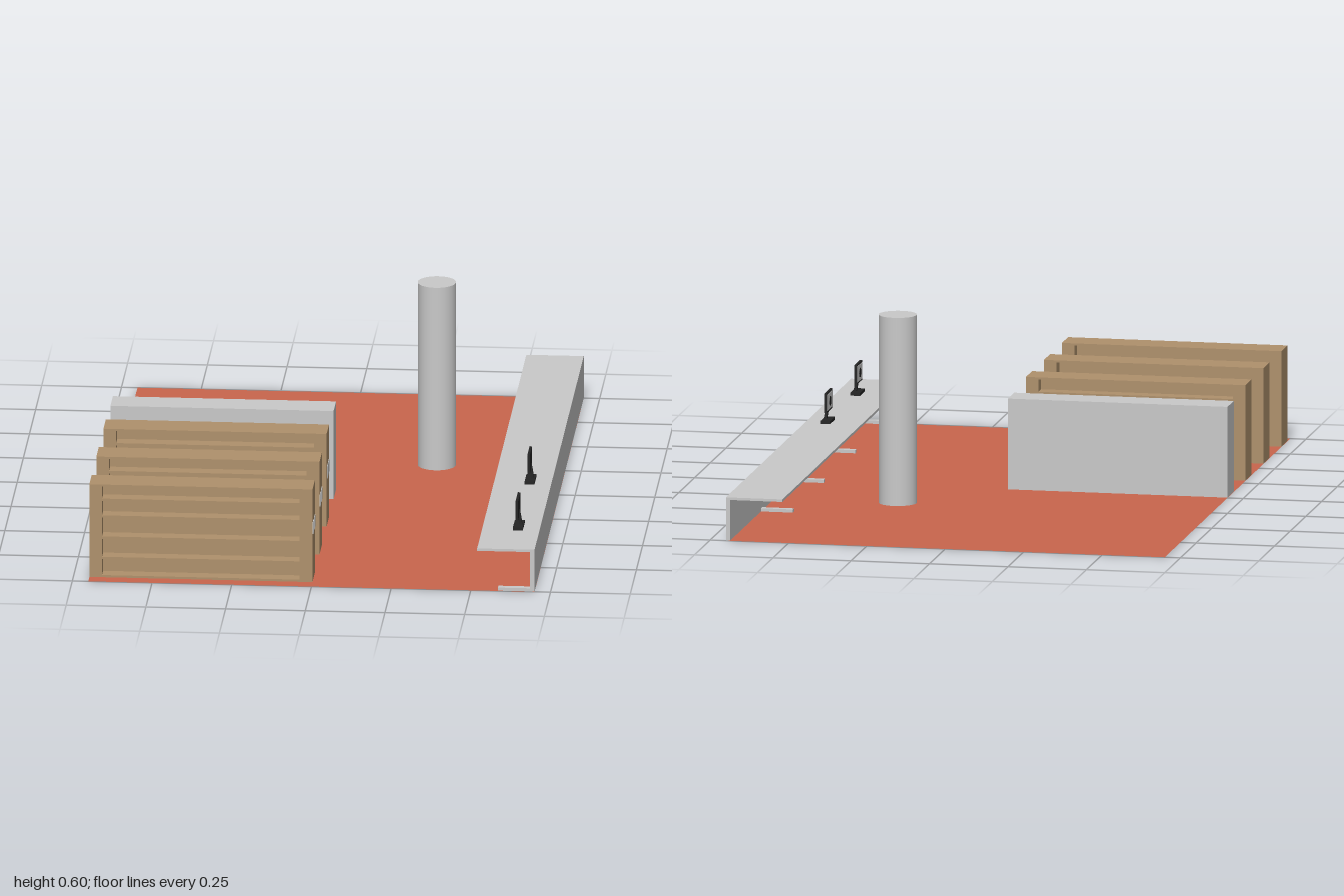
import * as THREE from 'three';

const mat = (name, color, side = THREE.FrontSide) => {
  const m = new THREE.MeshStandardMaterial({ color, side });
  m.name = name;
  return m;
};

export function createModel() {
  const model = new THREE.Group();
  model.name = 'libraryRoom';
  const terracotta = mat('terracotta', 0xc9664d, THREE.DoubleSide);
  const grey = mat('lightGrey', 0xc9c9c9);
  const wood = mat('wood', 0xaf916c);
  const black = mat('black', 0x242424);

  const add = (parent, name, geometry, material) => {
    const mesh = new THREE.Mesh(geometry, material);
    mesh.name = name;
    parent.add(mesh);
    return mesh;
  };
  // Box given by its limits on each axis
  const box = (parent, name, material, [x0, x1], [y0, y1], [z0, z1]) => {
    const mesh = add(parent, name, new THREE.BoxGeometry(x1 - x0, y1 - y0, z1 - z0), material);
    mesh.position.set((x0 + x1) / 2, (y0 + y1) / 2, (z0 + z1) / 2);
    return mesh;
  };
  const group = (name, x = 0, y = 0, z = 0) => {
    const g = new THREE.Group();
    g.name = name;
    g.position.set(x, y, z);
    model.add(g);
    return g;
  };
  const base = 0.001; // keeps undersides just above the floor sheet

  // Floor
  add(model, 'floor', new THREE.PlaneGeometry(1.4, 2).rotateX(-Math.PI / 2), terracotta);

  // Low partition wall
  box(model, 'partition', grey, [-0.7, 0], [base, 0.29], [0, 0.1]);

  // Round column
  add(model, 'column', new THREE.CylinderGeometry(0.06, 0.06, 0.6 - base, 48), grey)
    .position.set(0.295, 0.3 + base / 2, -0.28);

  // Double-sided bookcases with sign plates on the aisle end
  for (const z of [0.335, 0.622, 0.908]) {
    const bookcase = group('bookcase', 0, 0, z);
    const depth = [-0.049, 0.049];
    const inside = [-0.66, -0.04];
    box(bookcase, 'leftSide', wood, [-0.04, 0], [base, 0.305], depth);
    box(bookcase, 'rightSide', wood, [-0.7, -0.66], [base, 0.305], depth);
    box(bookcase, 'middlePanel', wood, inside, [base, 0.3], [-0.005, 0.005]);
    const boards = [[base, 0.008], [0.06, 0.068], [0.127, 0.135], [0.197, 0.204], [0.251, 0.259], [0.298, 0.305]];
    for (const y of boards) box(bookcase, 'shelf', wood, inside, y, depth);
    for (const s of [-0.026, 0.022])
      box(bookcase, 'signPlate', grey, [0, 0.002], [0.155, 0.194], [s - 0.017, s + 0.017]);
  }

  // Long service counter
  const counter = group('counter');
  box(counter, 'counterTop', grey, [0.52, 0.7], [0.13, 0.138], [-1, 1]);
  box(counter, 'counterFront', grey, [0.686, 0.7], [base, 0.13], [-1, 1]);
  for (const z of [-0.5, 0, 0.5, 0.99])
    box(counter, 'counterFoot', grey, [0.585, 0.686], [base, 0.011], [z - 0.01, z + 0.01]);

  // Monitors facing the staff side
  for (const z of [0.29, 0.765]) {
    const monitor = group('monitor', 0.632, 0.138, z);
    box(monitor, 'monitorBase', black, [-0.015, 0.016], [0, 0.009], [-0.04, 0.04]);
    const stand = box(monitor, 'monitorStand', black, [-0.001, 0.008], [0.005, 0.055], [-0.007, 0.007]);
    stand.rotation.z = 0.17;
    box(monitor, 'monitorCase', black, [-0.006, 0.002], [0.036, 0.098], [-0.045, 0.045]);
    box(monitor, 'monitorScreen', grey, [-0.0075, -0.006], [0.042, 0.093], [-0.038, 0.038]);
    const mark = add(monitor, 'screenImage', new THREE.CylinderGeometry(0.015, 0.015, 0.001, 20), black);
    mark.rotation.z = Math.PI / 2;
    mark.position.set(-0.008, 0.067, 0);
  }
  return model;
}
